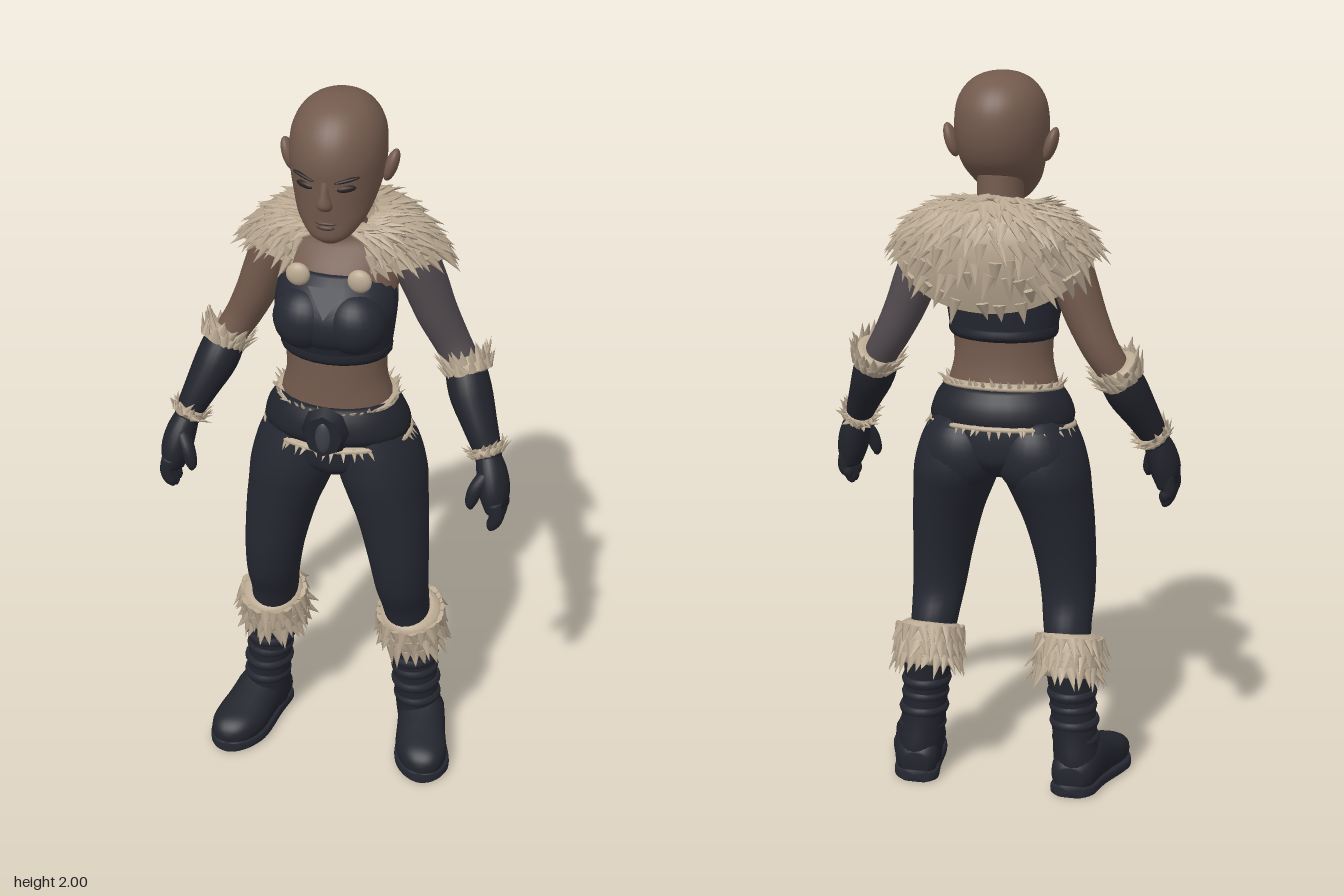
import * as THREE from 'three';
import { mergeGeometries } from 'three/addons/utils/BufferGeometryUtils.js';

const mat = (name, color, side = THREE.FrontSide) => {
  const m = new THREE.MeshStandardMaterial({ color, side });
  m.name = name;
  return m;
};
const V = (x, y, z) => new THREE.Vector3(x, y, z);
const UP = V(0, 1, 0), DOWN = V(0, -1, 0);

// Smooth skin over elliptical sections [x, y, z, radiusA, radiusB]; a fixed axis must follow the row order
function loft(rows, { axis = null, ref = V(0, 0, 1), n = 24, sub = 4, pow = 1 } = {}) {
  const fine = [], pos = [], idx = [];
  const at = i => rows[Math.min(Math.max(i, 0), rows.length - 1)];
  for (let i = 0; i < rows.length - 1; i++) {
    for (let k = 0; k < sub; k++) {
      const t = k / sub;
      fine.push(at(i).map((b, c) => {
        const a = at(i - 1)[c], d = at(i + 1)[c], e = at(i + 2)[c];
        return b + 0.5 * t * (d - a + t * (2 * a - 5 * b + 4 * d - e + t * (3 * (b - d) + e - a)));
      }));
    }
  }
  fine.push(rows[rows.length - 1]);
  const bend = v => Math.sign(v) * Math.abs(v) ** pow;
  fine.forEach((r, i) => {
    const a = fine[Math.max(i - 1, 0)], b = fine[Math.min(i + 1, fine.length - 1)];
    const t = axis ? axis.clone() : V(b[0] - a[0], b[1] - a[1], b[2] - a[2]).normalize();
    const u = t.clone().cross(ref).normalize(), w = u.clone().cross(t);
    for (let j = 0; j < n; j++) {
      const g = j / n * Math.PI * 2;
      const p = V(r[0], r[1], r[2]).addScaledVector(u, bend(Math.cos(g)) * Math.max(r[3], 0.001))
        .addScaledVector(w, bend(Math.sin(g)) * Math.max(r[4], 0.001));
      pos.push(p.x, p.y, p.z);
      if (i < fine.length - 1) {
        const A = i * n + j, B = i * n + (j + 1) % n;
        idx.push(A, A + n, B, B, A + n, B + n);
      }
    }
  });
  // end caps
  const last = (fine.length - 1) * n, c = pos.length / 3;
  pos.push(...fine[0].slice(0, 3), ...fine[fine.length - 1].slice(0, 3));
  for (let j = 0; j < n; j++) {
    const k = (j + 1) % n;
    idx.push(c, j, k, c + 1, last + k, last + j);
  }
  const geo = new THREE.BufferGeometry();
  geo.setAttribute('position', new THREE.Float32BufferAttribute(pos, 3));
  geo.setIndex(idx);
  geo.computeVertexNormals();
  return geo;
}

let seed = 7;
const rnd = () => (seed = (seed * 16807) % 2147483647) / 2147483647;
const jit = a => (rnd() - 0.5) * 2 * a;

// One pointed lock of fur, flattened against the surface whose normal is "out"
function tuft(p, dir, out, len, wid) {
  const g = new THREE.ConeGeometry(wid, len, 6, 1).translate(0, len * 0.35, 0).scale(1, 1, 0.5);
  g.deleteAttribute('uv');
  const y = dir.clone().normalize(), x = y.clone().cross(out).normalize();
  return g.applyMatrix4(new THREE.Matrix4().makeBasis(x, y, x.clone().cross(y)).setPosition(p));
}

// Padded ring with locks pointing along "lift" (up or down)
function furRing(rx, rz, h, len, lift, count, layers = 2) {
  const parts = [loft([[0, -h / 2, 0, rx * 0.82, rz * 0.82], [0, -h * 0.3, 0, rx, rz], [0, h * 0.15, 0, rx, rz],
    [0, h * 0.4, 0, rx * 0.9, rz * 0.9], [0, h * 0.5, 0, rx * 0.7, rz * 0.75]], { axis: UP })];
  for (let l = 0; l < layers; l++) for (let i = 0; i < count; i++) {
    const a = (i + l * 0.5 + jit(0.3)) / count * Math.PI * 2, c = Math.cos(a), s = Math.sin(a);
    const y = h * ((l + 0.5) / layers - 0.5);
    parts.push(tuft(V(c * rx * 0.97, y, s * rz * 0.97), V(c * 0.35 + jit(0.25), lift + jit(0.2), s * 0.35 + jit(0.25)),
      V(c, 0, s), len * (0.8 + rnd() * 0.5), len * 0.32));
  }
  return mergeGeometries(parts);
}

// Point on the shoulder mantle: u runs around the neck, v from neck to hem
function mantlePoint(u, v) {
  const th = THREE.MathUtils.degToRad(33 + 294 * u), c = Math.cos(th), b = (1 - c) / 2, back = Math.max(0, -c);
  const sn = Math.sin(th), side = Math.sign(sn) * Math.abs(sn) ** (1.25 + 0.4 * c);
  const I = V(0.085 * sn, 1.63 + 0.055 * b, 0.08 * c);
  const M = V((0.2 + 0.04 * back) * side, 1.645 + 0.02 * Math.abs(sn) + 0.01 * back, (c > 0 ? 0.14 : 0.24) * c - 0.02);
  const O = V((0.275 + 0.04 * back) * side, 1.53 + 0.02 * Math.abs(sn) - 0.14 * back ** 1.5, (c > 0 ? 0.17 : 0.13) * c - 0.03);
  const w = 1 - v;
  const p = I.clone().multiplyScalar(w * w).addScaledVector(M, 2 * v * w).addScaledVector(O, v * v);
  const t = M.clone().sub(I).multiplyScalar(w).addScaledVector(O.clone().sub(M), v).normalize();
  return { p, t };
}

export function createModel() {
  seed = 7;
  const root = new THREE.Group();
  root.name = 'warrior';
  const skin = mat('skin', 0x735a4d), sleeve = mat('grey arm', 0x514a4e);
  const cloth = mat('dark cloth', 0x262832), leather = mat('dark leather', 0x22242c);
  const fur = mat('fur', 0xbaa992, THREE.DoubleSide), metal = mat('dull metal', 0x3d3f47, THREE.DoubleSide);
  const dark = mat('eye and brow', 0x2a2120), lip = mat('lips', 0x543e38);
  const add = (name, geo, m, x = 0, y = 0, z = 0) => {
    const o = new THREE.Mesh(geo, m);
    o.name = name;
    o.position.set(x, y, z);
    root.add(o);
    return o;
  };
  const ball = (name, m, x, y, z, a, b, c) => {
    const o = add(name, new THREE.SphereGeometry(1, 24, 16), m, x, y, z);
    o.scale.set(a, b, c);
    return o;
  };
  const flat = { axis: UP };

  // Head and face
  add('head', loft([[0, 1.633, 0.128, 0.024, 0.02], [0, 1.655, 0.122, 0.056, 0.048], [0, 1.7, 0.093, 0.09, 0.081],
    [0, 1.75, 0.055, 0.109, 0.125], [0, 1.8, 0.04, 0.12, 0.144], [0, 1.86, 0.035, 0.125, 0.153],
    [0, 1.92, 0.03, 0.117, 0.141], [0, 1.965, 0.028, 0.091, 0.108], [0, 1.99, 0.028, 0.053, 0.063],
    [0, 2, 0.028, 0.004, 0.004]], { axis: UP, n: 32 }), skin);
  add('nose', loft([[0, 1.835, 0.168, 0.014, 0.015], [0, 1.79, 0.178, 0.013, 0.018],
    [0, 1.757, 0.179, 0.021, 0.022], [0, 1.74, 0.172, 0.016, 0.012]], { axis: DOWN, n: 12 }), skin);
  ball('upperLip', lip, 0, 1.701, 0.167, 0.03, 0.006, 0.011);
  ball('lowerLip', lip, 0, 1.689, 0.167, 0.025, 0.008, 0.012);

  // Torso and neck
  add('torso', loft([[0, 1.06, 0.045, 0.165, 0.12], [0, 1.15, 0.05, 0.152, 0.107], [0, 1.22, 0.055, 0.136, 0.1],
    [0, 1.3, 0.055, 0.14, 0.1], [0, 1.4, 0.05, 0.155, 0.112], [0, 1.5, 0.03, 0.16, 0.108],
    [0, 1.57, 0.015, 0.15, 0.085], [0, 1.61, 0.012, 0.09, 0.07], [0, 1.65, 0.015, 0.064, 0.07],
    [0, 1.75, 0.02, 0.062, 0.07]], flat), skin);
  add('top', loft([[0, 1.29, 0.055, 0.144, 0.106], [0, 1.32, 0.058, 0.151, 0.115], [0, 1.4, 0.065, 0.162, 0.134],
    [0, 1.45, 0.055, 0.162, 0.134], [0, 1.5, 0.035, 0.151, 0.118], [0, 1.53, 0.027, 0.132, 0.107]], flat), cloth);
  add('topHem', loft([[0, 1.283, 0.055, 0.143, 0.106], [0, 1.295, 0.056, 0.15, 0.116],
    [0, 1.315, 0.058, 0.15, 0.114]], flat), leather);
  ball('chestFront', cloth, 0, 1.4, 0.12, 0.13, 0.09, 0.082);
  const vee = new THREE.Shape([new THREE.Vector2(-0.05, 0.085), new THREE.Vector2(0, 0), new THREE.Vector2(0.05, 0.085)]);
  add('neckPanel', new THREE.ShapeGeometry(vee), metal, 0, 1.435, 0.201).rotation.x = -0.5;

  // Trousers, belt and buckle
  add('hips', loft([[0, 0.9, 0.03, 0.05, 0.06], [0, 0.94, 0.032, 0.11, 0.115], [0, 0.98, 0.033, 0.19, 0.13],
    [0, 1.05, 0.038, 0.192, 0.132], [0, 1.13, 0.045, 0.162, 0.117]], flat), cloth);
  add('belt', loft([[0, 1.04, 0.045, 0.19, 0.13], [0, 1.065, 0.045, 0.2, 0.146], [0, 1.11, 0.045, 0.186, 0.138],
    [0, 1.15, 0.048, 0.158, 0.115]], flat), leather);
  add('upperBeltFur', furRing(0.165, 0.12, 0.024, 0.032, 0.5, 44, 1), fur, 0, 1.148, 0.048).rotation.x = 0.12;
  add('lowerBeltFur', furRing(0.202, 0.146, 0.024, 0.032, -0.6, 48, 1), fur, 0, 1.045, 0.042).rotation.x = 0.08;
  const buckle = add('buckle', new THREE.CylinderGeometry(0.052, 0.066, 0.03, 8), leather, 0, 1.09, 0.193);
  buckle.rotation.x = Math.PI / 2;
  buckle.scale.z = 1.15;
  ball('buckleGem', metal, 0, 1.085, 0.203, 0.022, 0.048, 0.014);

  // Fur mantle with overlapping locks
  const NU = 56, NV = 10, pos = [], idx = [], locks = [];
  for (let i = 0; i <= NU; i++) for (let j = 0; j <= NV; j++) {
    pos.push(...mantlePoint(i / NU, j / NV).p.toArray());
    if (i < NU && j < NV) {
      const a = i * (NV + 1) + j, b = a + NV + 1;
      idx.push(a, a + 1, b, b, a + 1, b + 1);
    }
  }
  const cape = new THREE.BufferGeometry();
  cape.setAttribute('position', new THREE.Float32BufferAttribute(pos, 3));
  cape.setIndex(idx);
  cape.computeVertexNormals();
  add('furMantle', cape, fur);
  for (let r = 0; r < 8; r++) for (let i = 0; i < 36; i++) {
    const { p, t } = mantlePoint((i + (r % 2) * 0.5 + 0.25 + jit(0.3)) / 36, Math.min(1, (r + 0.5) / 8 + jit(0.04)));
    const out = p.clone().sub(V(0, 1.48, 0)).normalize();
    const d = t.clone().addScaledVector(out, 0.2).add(V(jit(0.3), jit(0.2), jit(0.3)));
    locks.push(tuft(p, d, out, 0.05 + rnd() * 0.035, 0.02));
  }
  add('mantleLocks', mergeGeometries(locks), fur);

  for (const s of [1, -1]) {
    const side = s > 0 ? 'left' : 'right';
    const mir = rows => rows.map(([x, ...r]) => [x * s, ...r]);
    const part = (name, rows, m, opt) => add(side + name, loft(mir(rows), opt), m);

    // Eyes, brows and ears
    const eye = ball(side + 'Eye', dark, s * 0.054, 1.803, 0.168, 0.025, 0.009, 0.008);
    eye.rotation.set(0, s * 0.35, s * 0.12);
    const brow = ball(side + 'Brow', dark, s * 0.056, 1.828, 0.171, 0.034, 0.005, 0.007);
    brow.rotation.set(0, s * 0.38, s * 0.22);
    ball(side + 'Ear', skin, s * 0.135, 1.812, 0.022, 0.017, 0.047, 0.027).rotation.z = -s * 0.3;

    // Chest, mantle clasp and seat
    ball(side + 'Chest', cloth, s * 0.066, 1.403, 0.128, 0.086, 0.088, 0.081);
    ball(side + 'Clasp', fur, s * 0.082, 1.53, 0.14, 0.032, 0.032, 0.018);
    ball(side + 'Seat', cloth, s * 0.1, 0.965, -0.025, 0.1, 0.11, 0.085);

    // Arm, long glove and cuffs
    part('Arm', [[0.13, 1.575, -0.015, 0.045, 0.05], [0.18, 1.535, -0.025, 0.062, 0.068],
      [0.213, 1.46, -0.035, 0.06, 0.07], [0.247, 1.37, -0.04, 0.055, 0.063], [0.285, 1.29, -0.045, 0.049, 0.054],
      [0.32, 1.23, -0.035, 0.045, 0.05], [0.34, 1.18, -0.02, 0.045, 0.05]], s > 0 ? sleeve : skin);
    part('Glove', [[0.325, 1.235, -0.035, 0.053, 0.056], [0.35, 1.165, -0.002, 0.058, 0.066],
      [0.385, 1.09, 0.035, 0.047, 0.055], [0.412, 1.03, 0.06, 0.038, 0.043], [0.42, 1, 0.07, 0.035, 0.04]], leather);
    const elbow = add(side + 'ElbowFur', furRing(0.062, 0.067, 0.05, 0.045, 0.7, 20), fur, s * 0.335, 1.222, -0.032);
    const wrist = add(side + 'WristFur', furRing(0.045, 0.05, 0.03, 0.03, 0.3, 18), fur, s * 0.413, 1.025, 0.062);
    for (const f of [elbow, wrist]) f.rotation.set(-0.4, 0, s * 0.4);

    // Hand with four fingers and a thumb
    part('Hand', [[0.415, 1.02, 0.065, 0.032, 0.036], [0.432, 0.97, 0.082, 0.041, 0.052],
      [0.443, 0.92, 0.095, 0.041, 0.058], [0.448, 0.875, 0.1, 0.028, 0.052]], leather);
    for (let k = 0; k < 4; k++) {
      const z = 0.058 + k * 0.027, end = [0.835, 0.815, 0.812, 0.825][k];
      part('Finger' + (k + 1), [[0.45, 0.91, z, 0.022, 0.016], [0.458, 0.87, z + 0.002, 0.02, 0.0155],
        [0.447, end + 0.015, z, 0.016, 0.0135], [0.442, end, z - 0.002, 0.005, 0.005]], leather, { n: 10 });
    }
    part('Thumb', [[0.42, 0.98, 0.11, 0.018, 0.02], [0.4, 0.945, 0.13, 0.02, 0.02],
      [0.388, 0.905, 0.138, 0.016, 0.016], [0.388, 0.885, 0.138, 0.006, 0.006]], leather, { n: 10 });

    // Leg
    part('Leg', [[0.095, 1.07, 0.04, 0.09, 0.115], [0.108, 1, 0.036, 0.113, 0.133], [0.122, 0.92, 0.034, 0.12, 0.143],
      [0.138, 0.85, 0.042, 0.11, 0.13], [0.157, 0.77, 0.052, 0.097, 0.114],
      [0.175, 0.65, 0.062, 0.083, 0.094], [0.184, 0.55, 0.055, 0.074, 0.08], [0.189, 0.47, 0.025, 0.066, 0.075],
      [0.198, 0.38, 0.005, 0.06, 0.068]], cloth, { axis: DOWN });

    // Boot: shaft, straps, foot, sole and fur top
    part('BootShaft', [[0.2, 0.38, 0, 0.068, 0.073], [0.21, 0.27, 0, 0.063, 0.068], [0.218, 0.17, -0.003, 0.062, 0.07],
      [0.225, 0.1, -0.008, 0.064, 0.075], [0.228, 0.04, -0.01, 0.06, 0.072]], leather, { axis: DOWN });
    [0.285, 0.245, 0.2, 0.15].forEach((y, i) => {
      const x = 0.209 + (0.285 - y) * 0.09, r = i % 2 ? 0.067 : 0.07;
      part('BootStrap' + (i + 1), [[x, y - 0.014, 0, r - 0.006, r], [x, y, 0, r, r + 0.005],
        [x, y + 0.014, 0, r - 0.006, r]], cloth, flat);
    });
    part('BootFoot', [[0.222, 0.05, -0.085, 0.035, 0.035], [0.225, 0.062, -0.06, 0.06, 0.055],
      [0.236, 0.078, 0, 0.067, 0.072], [0.25, 0.068, 0.07, 0.07, 0.06], [0.266, 0.056, 0.14, 0.074, 0.05],
      [0.276, 0.05, 0.19, 0.06, 0.041], [0.28, 0.045, 0.216, 0.036, 0.026], [0.281, 0.042, 0.226, 0.01, 0.008]],
    leather, { axis: V(0, 0, 1), ref: UP, pow: 0.85 });
    part('BootSole', [[0.222, 0.017, -0.088, 0.038, 0.017], [0.225, 0.017, -0.06, 0.063, 0.017],
      [0.24, 0.017, 0.02, 0.066, 0.017], [0.266, 0.017, 0.13, 0.08, 0.017], [0.275, 0.017, 0.185, 0.066, 0.017],
      [0.28, 0.017, 0.218, 0.038, 0.017], [0.281, 0.017, 0.23, 0.01, 0.015]],
    cloth, { axis: V(0, 0, 1), ref: UP, pow: 0.4 });
    add(side + 'BootFur', furRing(0.093, 0.095, 0.12, 0.055, -0.9, 24, 3), fur, s * 0.2, 0.393, -0.003).rotation.x = 0.3;
  }
  return root;
}
